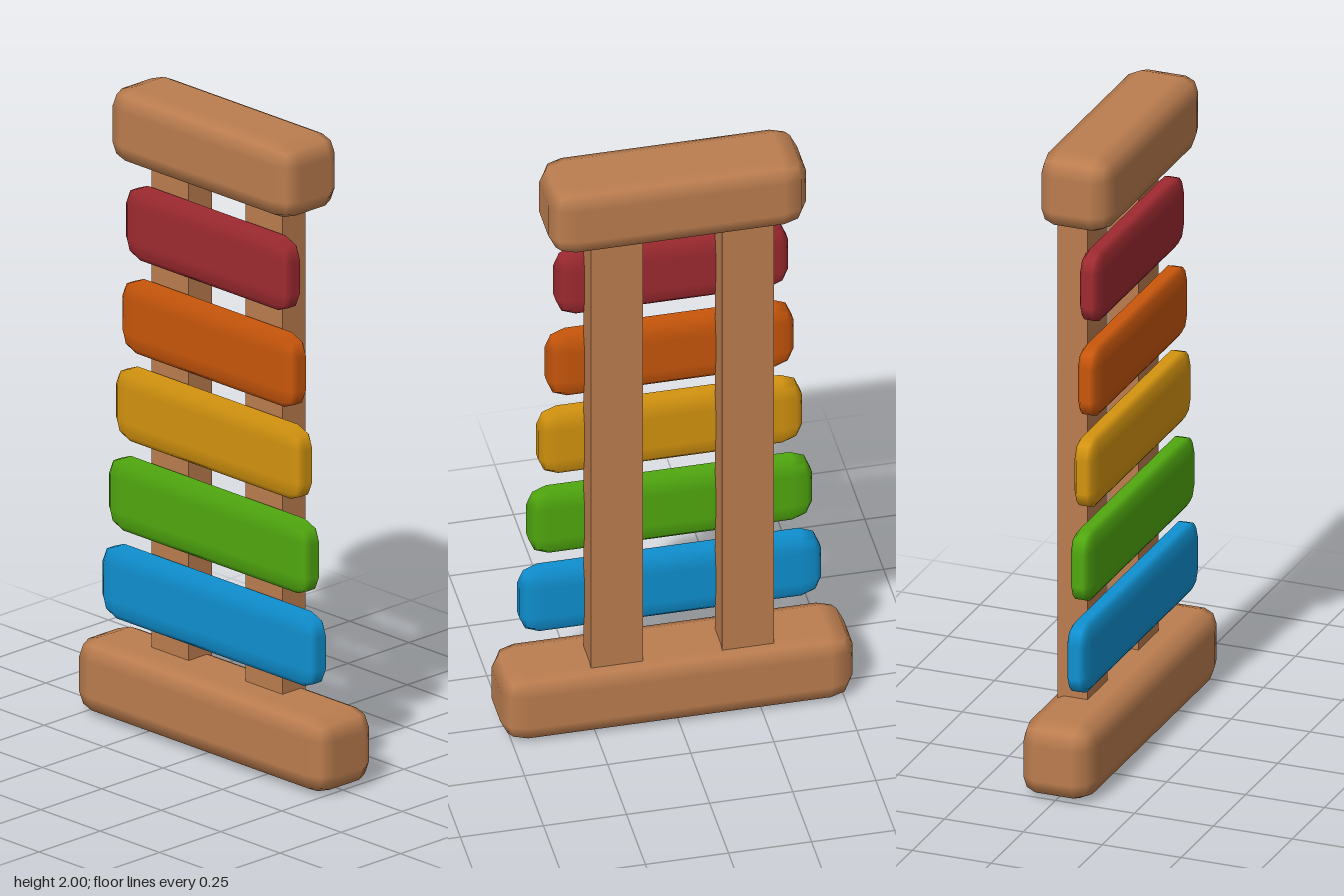
import * as THREE from 'three';

const mat = (name, color) => {
  const m = new THREE.MeshStandardMaterial({ color });
  m.name = name;
  return m;
};

// Box with smooth two-step rounded edges; the radius may differ per axis.
function softBox(size, radius) {
  const geo = new THREE.BoxGeometry(1, 1, 1, 3, 3, 3);
  const pos = geo.attributes.position;
  const nor = geo.attributes.normal;
  const n = new THREE.Vector3();
  for (let i = 0; i < pos.count; i++) {
    const p = [pos.getX(i), pos.getY(i), pos.getZ(i)];
    // outer grid lines lie on the bend, inner ones bound the flat faces
    n.fromArray(p.map(v => (Math.abs(v) > 0.4 ? Math.sign(v) : 0))).normalize();
    const d = n.toArray();
    pos.setXYZ(i, ...p.map((v, k) => Math.sign(v) * (size[k] / 2 - radius[k]) + d[k] * radius[k]));
    n.set(d[0] / radius[0], d[1] / radius[1], d[2] / radius[2]).normalize();
    nor.setXYZ(i, n.x, n.y, n.z);
  }
  return geo;
}

export function createModel() {
  const group = new THREE.Group();
  group.name = 'slattedRack';
  const wood = mat('wood', 0xbb7d4f);

  const add = (name, geometry, material, x, y, z) => {
    const mesh = new THREE.Mesh(geometry, material);
    mesh.name = name;
    mesh.position.set(x, y, z);
    group.add(mesh);
  };

  // End blocks
  const blockRadius = [0.075, 0.065, 0.055];
  add('baseBlock', softBox([1.06, 0.24, 0.23], blockRadius), wood, 0, 0.12, 0);
  add('topBlock', softBox([0.776, 0.24, 0.23], blockRadius), wood, -0.002, 1.88, 0);

  // Upright posts, running into both blocks
  const post = new THREE.BoxGeometry(0.156, 1.66, 0.095);
  add('rightPost', post, wood, -0.211, 1.0, -0.032);
  add('leftPost', post, wood, 0.184, 1.0, -0.032);

  // Coloured slats, widening downwards: name, colour, width, centre x, centre y
  const slats = [
    ['red', 0x9e2a30, 0.70, -0.005, 1.573],
    ['orange', 0xc8560b, 0.742, 0, 1.277],
    ['yellow', 0xd3930f, 0.794, 0, 0.996],
    ['green', 0x50a80f, 0.853, 0, 0.708],
    ['blue', 0x0f90d0, 0.908, 0, 0.425],
  ];
  for (const [name, color, width, x, y] of slats) {
    add(name + 'Slat', softBox([width, 0.226, 0.068], [0.06, 0.06, 0.019]), mat(name, color), x, y, 0.04);
  }
  return group;
}
